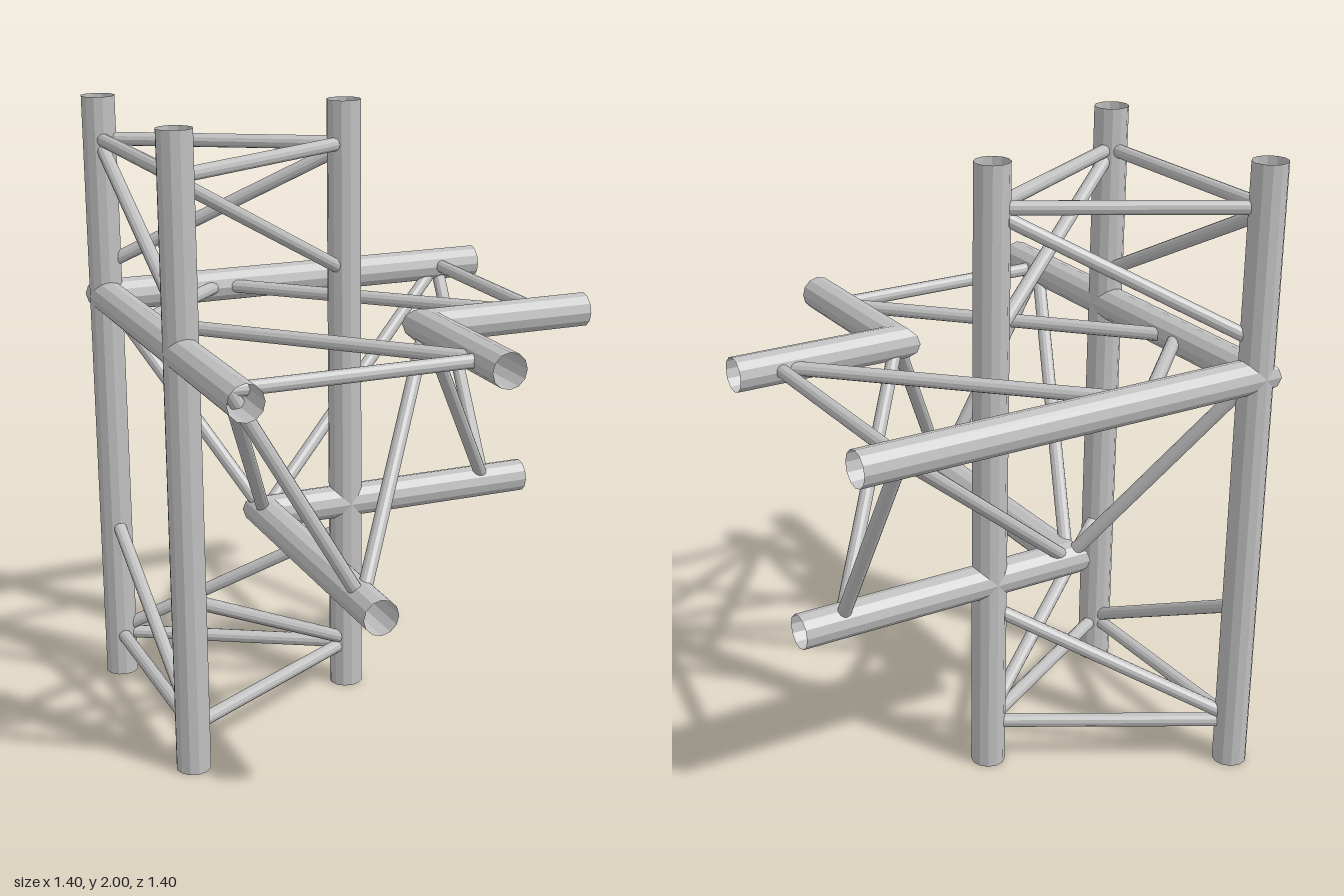
import * as THREE from 'three';

const R = 0.055, r = 0.022;          // chord and brace radii
const TOP = 1.345, LOW = 0.66;       // heights of the horizontal chords
const END = 0.7;                     // open end of every horizontal arm
const OUT = -0.645, MID = -0.25, INN = 0.145, TIP = 0.56;

export function createModel() {
  const metal = new THREE.MeshStandardMaterial({ color: 0xc0c0c0, flatShading: true, side: THREE.DoubleSide });
  metal.name = 'grey metal';
  const model = new THREE.Group();
  model.name = 'triangularTrussCorner';

  const add = (name, geometry) => {
    const mesh = new THREE.Mesh(geometry, metal);
    mesh.name = name;
    model.add(mesh);
    return mesh;
  };

  // open tube between two points
  const tube = (name, a, b, radius) => {
    const p = new THREE.Vector3(...a), q = new THREE.Vector3(...b);
    const mesh = add(name, new THREE.CylinderGeometry(radius, radius, p.distanceTo(q), 12, 1, true));
    mesh.position.copy(p).add(q).multiplyScalar(0.5);
    mesh.quaternion.setFromUnitVectors(new THREE.Vector3(0, 1, 0), q.sub(p).normalize());
  };

  // L-shaped chord: one arm along +x, one along +z, mitred where they meet
  const cornerChord = (name, c, y) => {
    for (const side of [1, -1]) {
      const length = END - c;
      const g = new THREE.CylinderGeometry(R, R, length, 12, 1, true);
      g.rotateZ(-Math.PI / 2).translate(length / 2, 0, 0);
      const p = g.attributes.position;
      for (let i = 0; i < p.count; i++) {
        if (p.getX(i) < length / 2) p.setX(i, side * p.getZ(i));
      }
      if (side < 0) g.rotateY(-Math.PI / 2);
      g.computeVertexNormals();
      add(name + (side > 0 ? 'SideArm' : 'FrontArm'), g).position.set(c, y, c);
    }
  };
  cornerChord('outerChord', OUT, TOP);
  cornerChord('innerChord', INN, TOP);
  cornerChord('lowerChord', MID, LOW);

  // upright chords with a ring of braces near the top and the bottom
  const posts = [[OUT, OUT], [OUT, INN], [0.04, MID]];
  posts.forEach(([x, z], i) => {
    const [nx, nz] = posts[(i + 1) % 3];
    tube('uprightChord', [x, 0, z], [x, 2, z], R);
    for (const [bar, high, low] of [[1.862, 1.85, 1.45], [0.143, 0.565, 0.155]]) {
      tube('uprightCrossbar', [x, bar, z], [nx, bar, nz], r);
      tube('uprightDiagonal', [x, high, z], [nx, low, nz], r);
    }
  });

  // the same bracing on both horizontal arms, mirrored across x = z
  const armBraces = [
    ['armTopCrossbar', [TIP, TOP, OUT], [TIP, TOP, INN]],
    ['armOuterCrossbar', [TIP, TOP, OUT], [TIP, LOW, MID]],
    ['armTopDiagonal', [MID, TOP, OUT], [TIP, TOP, INN]],
    ['armOuterDiagonal', [TIP, TOP, OUT], [MID, LOW, MID]],
    ['armInnerDiagonal', [INN, TOP, INN], [TIP, LOW, MID]],
  ];
  for (const [name, a, b] of armBraces) {
    tube(name, a, b, r);
    tube(name, [...a].reverse(), [...b].reverse(), r);
  }

  // corner braces
  tube('cornerTopBrace', [OUT, TOP, MID], [MID, TOP, OUT], r);
  tube('cornerDropBrace', [OUT, TOP, OUT], [MID, LOW, MID], r);

  return model;
}
